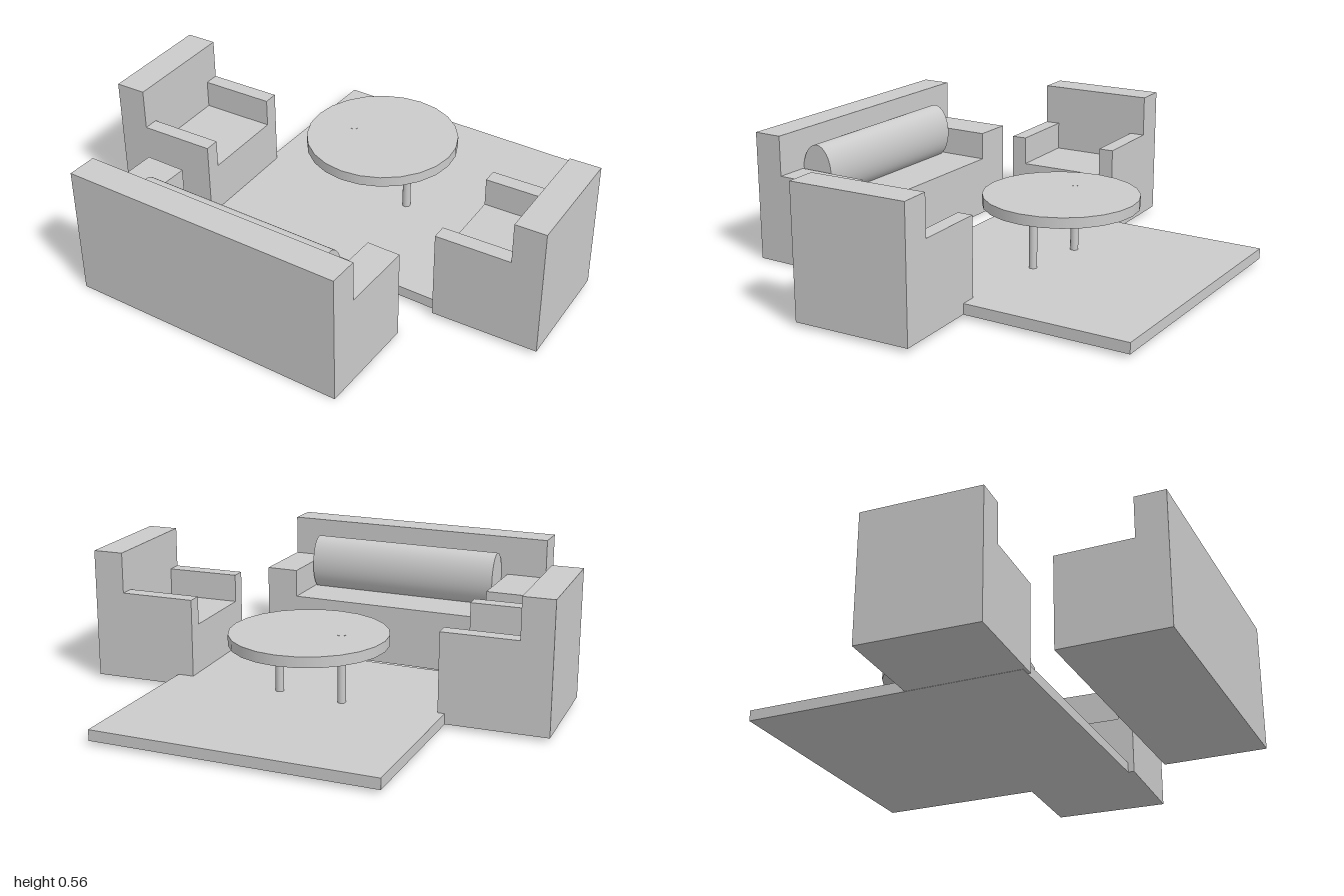
import * as THREE from 'three';

const grey = new THREE.MeshStandardMaterial({ color: 0xcccccc });

function add(parent, name, geometry, x = 0, y = 0, z = 0) {
  const mesh = new THREE.Mesh(geometry, grey);
  mesh.name = name;
  mesh.position.set(x, y, z);
  parent.add(mesh);
  return mesh;
}

// Upholstered seat with its back towards local +z: U-shaped base with two arms, and a slab back
function makeSeat(name, { width, depth, back, armL, armR, seatY, armY, topY }) {
  const group = new THREE.Group();
  group.name = name;
  const w = width / 2;
  const profile = new THREE.Shape([
    [-w, 0], [w, 0], [w, armY], [w - armR, armY], [w - armR, seatY],
    [-w + armL, seatY], [-w + armL, armY], [-w, armY],
  ].map(([x, y]) => new THREE.Vector2(x, y)));
  const base = new THREE.ExtrudeGeometry(profile, { depth: depth - back, bevelEnabled: false });
  add(group, 'seatAndArms', base, 0, 0, -depth / 2);
  add(group, 'backrest', new THREE.BoxGeometry(width, topY, back), 0, topY / 2, depth / 2 - back / 2);
  return group;
}

export function createModel() {
  const model = new THREE.Group();
  model.name = 'loungeSet';

  // Rug
  add(model, 'rug', new THREE.BoxGeometry(1.185, 0.045, 1.18), 0.007, 0.0375, -0.315);

  // Sofa with a long oval bolster
  const sofa = makeSeat('sofa', {
    width: 1.205, depth: 0.44, back: 0.125, armL: 0.175, armR: 0.14,
    seatY: 0.26, armY: 0.38, topY: 0.55,
  });
  sofa.position.set(-0.115, 0, 0.675);
  sofa.rotation.y = -0.006;
  const bolster = new THREE.CylinderGeometry(1, 1, 0.855, 48);
  bolster.rotateZ(Math.PI / 2).scale(1, 0.12, 0.0735);
  add(sofa, 'bolster', bolster, 0.028, 0.37, 0.024);
  model.add(sofa);

  // Two armchairs facing each other, each slightly turned
  for (const [name, x, angle] of [
    ['rightArmchair', -0.772, -Math.PI / 2 + 0.03],
    ['leftArmchair', 0.763, Math.PI / 2 + 0.036],
  ]) {
    const chair = makeSeat(name, {
      width: 0.5, depth: 0.447, back: 0.13, armL: 0.064, armR: 0.064,
      seatY: 0.255, armY: 0.375, topY: 0.548,
    });
    chair.position.set(x, 0.016, 0.043);
    chair.rotation.y = angle;
    model.add(chair);
  }

  // Round table on two thin legs
  const table = new THREE.Group();
  table.name = 'table';
  add(table, 'tableTop', new THREE.CylinderGeometry(0.322, 0.322, 0.044, 24), -0.03, 0.318, -0.26);
  for (const [x, z, top] of [[-0.165, -0.248, 0.341], [0.12, -0.218, 0.335]]) {
    const height = top - 0.05;
    add(table, 'tableLeg', new THREE.CylinderGeometry(0.017, 0.017, height, 16), x, 0.05 + height / 2, z);
  }
  model.add(table);

  return model;
}
